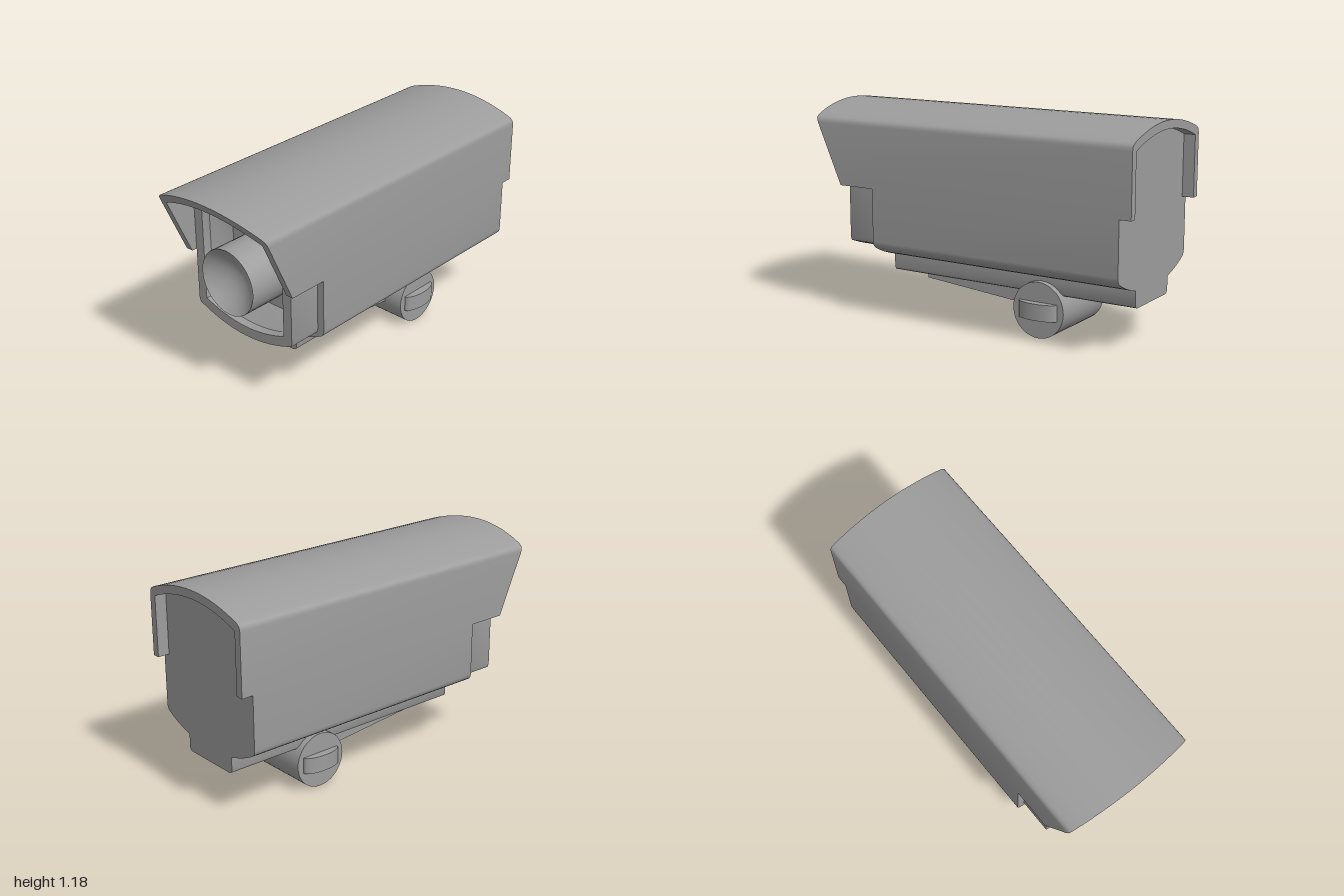
import * as THREE from 'three';
import { toCreasedNormals } from 'three/addons/utils/BufferGeometryUtils.js';

const material = new THREE.MeshStandardMaterial({ color: 0x9c9c9c });
const CREASE = 0.65;

function part(name, geometry, parent) {
  const mesh = new THREE.Mesh(toCreasedNormals(geometry, CREASE), material);
  mesh.name = name;
  parent.add(mesh);
  return mesh;
}

const points = (list) => list.map(([x, y]) => new THREE.Vector2(x, y));
const mirror = (list) => list.map((p) => new THREE.Vector2(-p.x, p.y)).reverse();

// One bowed edge from x = -w to w: height "edge" at the ends, "mid" in the centre
function bow(w, edge, mid, n = 14) {
  return Array.from({ length: n + 1 }, (_, i) => {
    const t = (2 * i) / n - 1;
    return new THREE.Vector2(w * t, mid + (edge - mid) * t * t);
  });
}

// Counterclockwise outline with bowed bottom and top; c and d round the lower and upper corners
function profile(w, bottom, bottomMid, top, topMid, c, d) {
  const right = points([
    [w - 0.25 * c, bottom + 0.25 * c], [w, bottom + c], [w, top - d], [w - 0.25 * d, top - 0.25 * d],
  ]);
  return [...bow(w - c, bottom, bottomMid), ...right, ...bow(w - d, top, topMid).reverse(), ...mirror(right)];
}

function extrude(outline, z0, z1) {
  const geometry = new THREE.ExtrudeGeometry(new THREE.Shape(outline), { depth: z1 - z0, bevelEnabled: false });
  return geometry.translate(0, 0, z0);
}

// Skin through matching outlines, each placed at its own z
function loft(sections) {
  const pos = [];
  const put = ([pts, z], i) => {
    const p = pts[i % pts.length];
    pos.push(p.x, p.y, z);
  };
  for (let s = 0; s < sections.length - 1; s++) {
    const a = sections[s], b = sections[s + 1];
    for (let i = 0; i < a[0].length; i++) {
      put(a, i); put(a, i + 1); put(b, i + 1);
      put(a, i); put(b, i + 1); put(b, i);
    }
  }
  const geometry = new THREE.BufferGeometry();
  geometry.setAttribute('position', new THREE.Float32BufferAttribute(pos, 3));
  return geometry;
}

export function createModel() {
  const model = new THREE.Group();
  model.name = 'securityCamera';

  // Housing with a rail along its underside, narrower where the hood covers it
  const side = points([
    [0.165, 0.235], [0.178, 0.241], [0.185, 0.255], [0.185, 0.33], [0.24, 0.345], [0.29, 0.363],
    [0.335, 0.384], [0.361, 0.398], [0.373, 0.408], [0.38, 0.42], [0.382, 0.436],
    [0.382, 0.73], [0.34, 0.73], [0.34, 1.065],
  ]);
  const roof = bow(0.34, 1.065, 1.133).reverse().slice(1, -1);
  part('housing', extrude([...side, ...roof, ...mirror(side)], -0.935, 0.58), model);

  // Hood: a bent sheet with rounded shoulders and a raked front
  const shoulder = points([[0.382, 0.73], [0.382, 1.07], [0.38, 1.085], [0.374, 1.097], [0.364, 1.105]]);
  const outer = [...shoulder, ...bow(0.35, 1.112, 1.178).reverse(), ...mirror(shoulder)];
  const inner = [new THREE.Vector2(-0.34, 0.73), ...bow(0.34, 1.065, 1.133), new THREE.Vector2(0.34, 0.73)];
  const hood = extrude([...outer, ...inner], -1, 1);
  const hp = hood.attributes.position;
  for (let i = 0; i < hp.count; i++) {
    if (hp.getZ(i) > 0) hp.setZ(i, 0.8 + ((hp.getY(i) - 0.73) * 0.2) / 0.448);
  }
  part('hood', hood, model);

  // Front bezel: a lip, then a shallow funnel down to the lens plate
  const rim = profile(0.34, 0.405, 0.343, 1.065, 1.133, 0.03, 0.003);
  const opening = profile(0.283, 0.452, 0.398, 1.032, 1.08, 0.006, 0.006);
  part('bezel', loft([
    [rim, 0.575],
    [rim, 0.77],
    [opening, 0.77],
    [opening, 0.72],
    [profile(0.207, 0.495, 0.495, 0.91, 0.91, 0.02, 0.02), 0.63],
    [profile(0.06, 0.64, 0.64, 0.76, 0.76, 0.01, 0.01), 0.63],
  ]), model);

  // Lens barrel with a dished front
  const lensProfile = [new THREE.Vector2(0.183, 0.6)];
  for (let i = 0; i <= 10; i++) {
    const r = 1 - i / 10;
    lensProfile.push(new THREE.Vector2(0.183 * r, 0.775 + 0.1 * r * r));
  }
  const lens = new THREE.LatheGeometry(lensProfile, 28).rotateX(Math.PI / 2);
  part('lensBarrel', lens, model).position.y = 0.7;

  // Tapered mounting arm under the rail
  const arm = new THREE.BoxGeometry(2, 1, 1);
  const ap = arm.attributes.position;
  for (let i = 0; i < ap.count; i++) {
    const front = ap.getZ(i) > 0;
    const y = ap.getY(i) > 0 ? 0.24 : front ? 0.19 : 0.132;
    ap.setXYZ(i, ap.getX(i) * (front ? 0.085 : 0.108), y, front ? 0.42 : -0.36);
  }
  part('mountingArm', arm, model);

  // Pivot drum with a rounded grip at each end
  const pivot = new THREE.Group();
  pivot.name = 'pivot';
  pivot.position.set(0, 0.153, -0.385);
  model.add(pivot);
  part('pivotDrum', new THREE.CylinderGeometry(0.153, 0.153, 0.44, 40).rotateZ(Math.PI / 2), pivot);
  for (const s of [1, -1]) {
    const grip = new THREE.CylinderGeometry(1, 1, 0.09, 40).scale(0.045, 1, 0.115);
    part(s > 0 ? 'leftGrip' : 'rightGrip', grip, pivot).position.x = s * 0.22;
  }

  return model;
}
